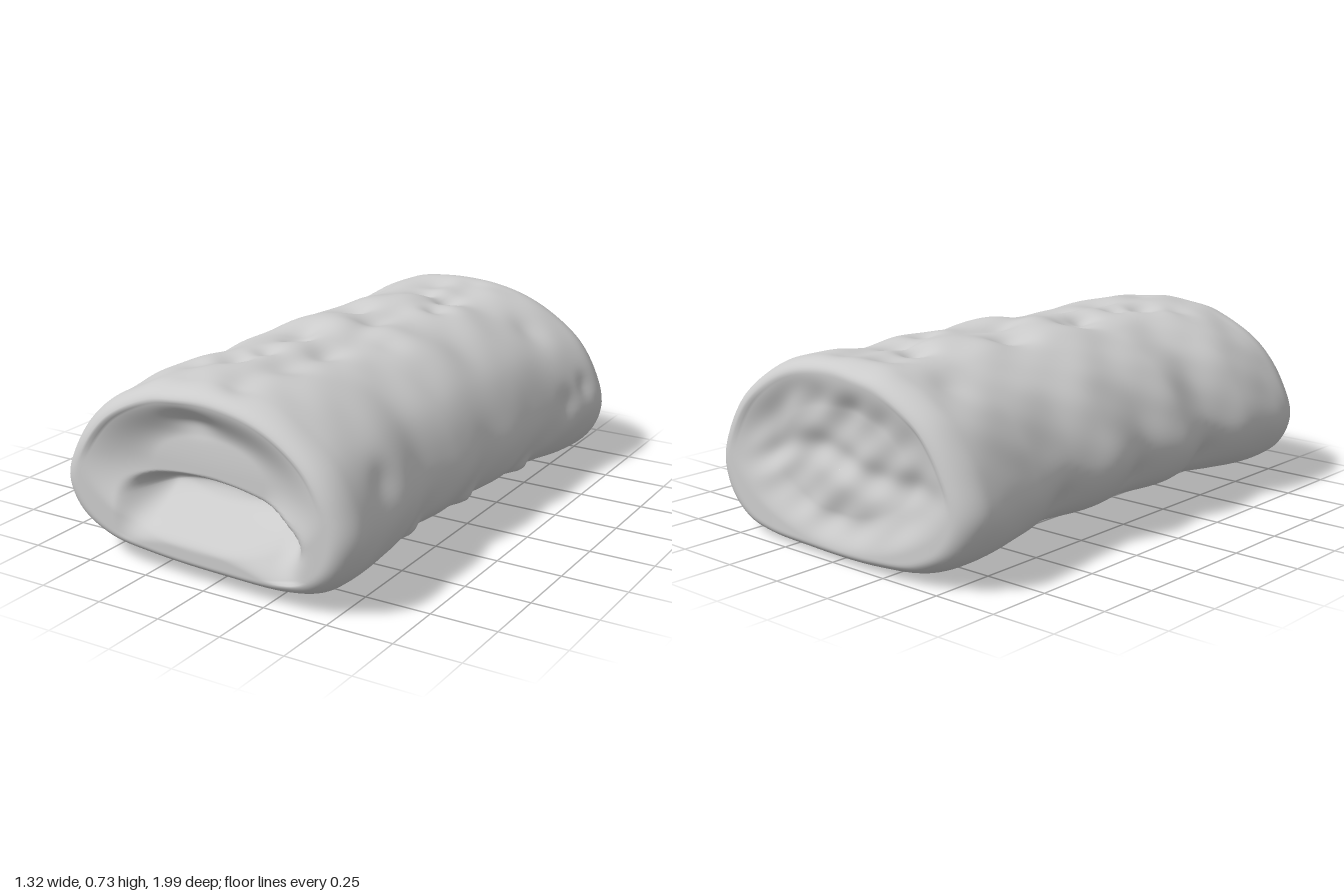
import * as THREE from 'three';

const smooth = THREE.MathUtils.smoothstep;

// Smooth lookup in evenly spaced values, t in 0..1
function sample(values, t) {
  const last = values.length - 1;
  const f = THREE.MathUtils.clamp(t, 0, 1) * last;
  const i = Math.min(Math.floor(f), last - 1), s = f - i;
  const a = values[Math.max(i - 1, 0)], b = values[i], c = values[i + 1], d = values[Math.min(i + 2, last)];
  return b + s / 2 * (c - a + s * (2 * a - 5 * b + 4 * c - d + s * (3 * b - a - 3 * c + d)));
}

// Soft repeatable lumpiness, about -1..1
function lumps(x, y, z) {
  return (Math.sin(9 * x + 5 * z + 1) * Math.sin(11 * y - 4 * z + 2) +
    Math.sin(15 * z + 6 * x) * Math.cos(13 * y + 8 * x + 1) +
    0.6 * Math.sin(27 * x + 17 * y) * Math.sin(23 * z + 11 * y + 2)) / 2.6;
}

// Outer limits of the loaf from back (z = -1) to front (z = 1)
const LEFT = [-.63, -.63, -.605, -.575, -.62, -.6, -.64, -.6, -.655, -.665, -.655];
const RIGHT = [.66, .645, .615, .59, .595, .57, .58, .55, .58, .585, .585];
const TOP = [.71, .71, .7, .72, .71, .73, .71, .71, .72, .71, .7];
const BOTTOM = [0, .003, .025, .04, .045, .05, .055, .055, .045, .03, .045];

// Domed cross-section with a flat base and sloping undersides, x in -1..1 and y in 0..1
const SECTION = new THREE.CatmullRomCurve3([
  [1, .35], [.95, .53], [.83, .71], [.62, .86], [.38, .955], [.06, 1], [-.2, .985], [-.41, .95],
  [-.73, .79], [-.92, .56], [-1, .35], [-.92, .18], [-.7, .06], [-.35, .015], [.2, 0],
  [.6, .01], [.8, .06], [.94, .18],
].map(([x, y]) => new THREE.Vector3(x, y, 0)), true);

// Dents (positive depth) and knobs (negative): x, y, z, radius, depth
const DENTS = [
  [-.06, .7, -.78, .09, .025], [-.04, .7, -.62, .07, .035], [.1, .7, -.58, .07, .03],
  [.14, .7, -.4, .07, .03], [-.15, .7, -.24, .1, .03], [.02, .7, -.1, .1, .025],
  [-.15, .7, .14, .09, .03], [-.1, .7, .24, .07, .035], [.08, .7, .32, .09, .02],
  [-.1, .7, .45, .06, .025], [-.15, .7, .57, .08, .035], [-.25, .68, .67, .08, .02],
  [.1, .7, .56, .1, .02], [.2, .68, .08, .09, .02], [-.35, .65, -.75, .1, .015],
  [.42, .58, -.7, .1, .015], [.6, .3, -.66, .07, .02], [.6, .34, -.8, .06, .02],
  [.56, .42, .7, .08, .015], [.52, .12, .45, .06, -.03], [.52, .12, .06, .06, -.03],
  [.53, .11, -.38, .06, -.03], [-.58, .2, .4, .09, .02], [-.58, .2, -.02, .09, .02],
  [-.56, .2, -.42, .09, .02],
];

// Front end: a shallow bowl with a deeper slot under an arched lip and a rising floor
function frontRecess(x, y) {
  const bowl = .085 * (1 - smooth(Math.hypot((x + .04) / .53, (y - .39) / .27), .45, 1));
  const yy = y + .5 * (x + .06) ** 2;
  const slope = smooth(yy, .13, .31) * (1 - smooth(yy, .31, .375));
  const slot = .12 * slope * (1 - smooth(Math.abs(x), .26, .41));
  const hole = .04 * Math.exp(-((x - .34) ** 2 + (y - .225) ** 2) / .0018);
  const nick = .02 * Math.exp(-((x + .1) ** 2) / .008 - ((y - .57) ** 2) / .0015);
  return bowl + slot + hole + nick;
}

// Shallow, crumbly recess in the back end
function backRecess(x, y) {
  const inside = 1 - smooth(Math.hypot((x - .01) / .58, (y - .35) / .31), .6, 1);
  const crease = Math.exp(-((y - .36 + .3 * x * x - .03 * Math.sin(9 * x)) ** 2) / .003);
  return inside * (.035 + .022 * lumps(x * 1.3, y * 1.4, .3) + .02 * crease);
}

// Rings from the centre of the back, along the body, to the centre of the front
function makeRings() {
  const body = 110, corner = 10, cap = 46;
  const front = [];
  for (let i = 1; i <= corner; i++) {
    const a = i / corner * Math.PI / 2;
    front.push({ z: .88 + .1 * Math.sin(a), k: 1 - .13 * (1 - Math.cos(a)), end: 0 });
  }
  for (let i = 1; i <= cap; i++) front.push({ z: .98, k: Math.max(.87 * (1 - i / cap), .002), end: 1 });
  const back = front.map(r => ({ z: -r.z, k: r.k, end: r.end })).reverse();
  const middle = [];
  for (let i = 0; i <= body; i++) middle.push({ z: -.88 + 1.76 * i / body, k: 1, end: 0 });
  return [...back, ...middle, ...front];
}

function loafGeometry() {
  const around = 150;
  const outline = SECTION.getSpacedPoints(around).slice(0, around);
  const rings = makeRings();
  const positions = [], index = [];
  rings.forEach(({ z: z0, k, end }, i) => {
    const t = (z0 + 1) / 2;
    const l = sample(LEFT, t), r = sample(RIGHT, t), b = sample(BOTTOM, t), h = sample(TOP, t) - b;
    const cx = (l + r) / 2, cy = b + h * .45;
    outline.forEach((p, j) => {
      let x = cx + p.x * (r - l) / 2 * k;
      let y = cy + (b + p.y * h - cy) * k;
      let z = z0;
      if (!end) {
        // Lumpy crust, calmer on the base
        const len = Math.hypot(x - cx, y - cy);
        const nx = (x - cx) / len, ny = (y - cy) / len;
        let push = .01 * lumps(x, y, z) * smooth(y, .06, .2);
        for (const [dx, dy, dz, rad, depth] of DENTS) {
          const d2 = (x - dx) ** 2 + (y - dy) ** 2 + (z - dz) ** 2;
          push -= depth * Math.exp(-d2 / (rad * rad) * 1.5);
        }
        // Broad lengthwise valley along the top
        push -= .015 * smooth(y, .55, .65) * Math.exp(-((x - .06 - .04 * Math.sin(7 * z)) ** 2) / .005);
        // Fade toward the end faces so the caps join cleanly
        push *= 1 - smooth(Math.abs(z), .84, .975);
        x += nx * push;
        y += ny * push;
      }
      // Uneven end planes and recesses
      if (z0 > 0) {
        z += smooth(z0, .6, .98) * (.018 * x / .6 - .03 * smooth(y, .4, .75));
        if (end) z -= frontRecess(x, y);
      } else {
        z -= smooth(-z0, .6, .98) * (.012 * Math.sin(5 * x + 2.6) + .03 * (.3 - y));
        if (end) z += backRecess(x, y);
      }
      positions.push(x, y, z);
      if (i < rings.length - 1) {
        const a = i * around + j, c = i * around + (j + 1) % around;
        index.push(a, c, a + around, c, c + around, a + around);
      }
    });
  });
  const geometry = new THREE.BufferGeometry();
  geometry.setAttribute('position', new THREE.Float32BufferAttribute(positions, 3));
  geometry.setIndex(index);
  geometry.computeVertexNormals();
  return geometry;
}

export function createModel() {
  const group = new THREE.Group();
  group.name = 'rolledLoaf';
  const loaf = new THREE.Mesh(loafGeometry(), new THREE.MeshStandardMaterial({ color: 0xcccccc }));
  loaf.name = 'loafBody';
  group.add(loaf);
  return group;
}
